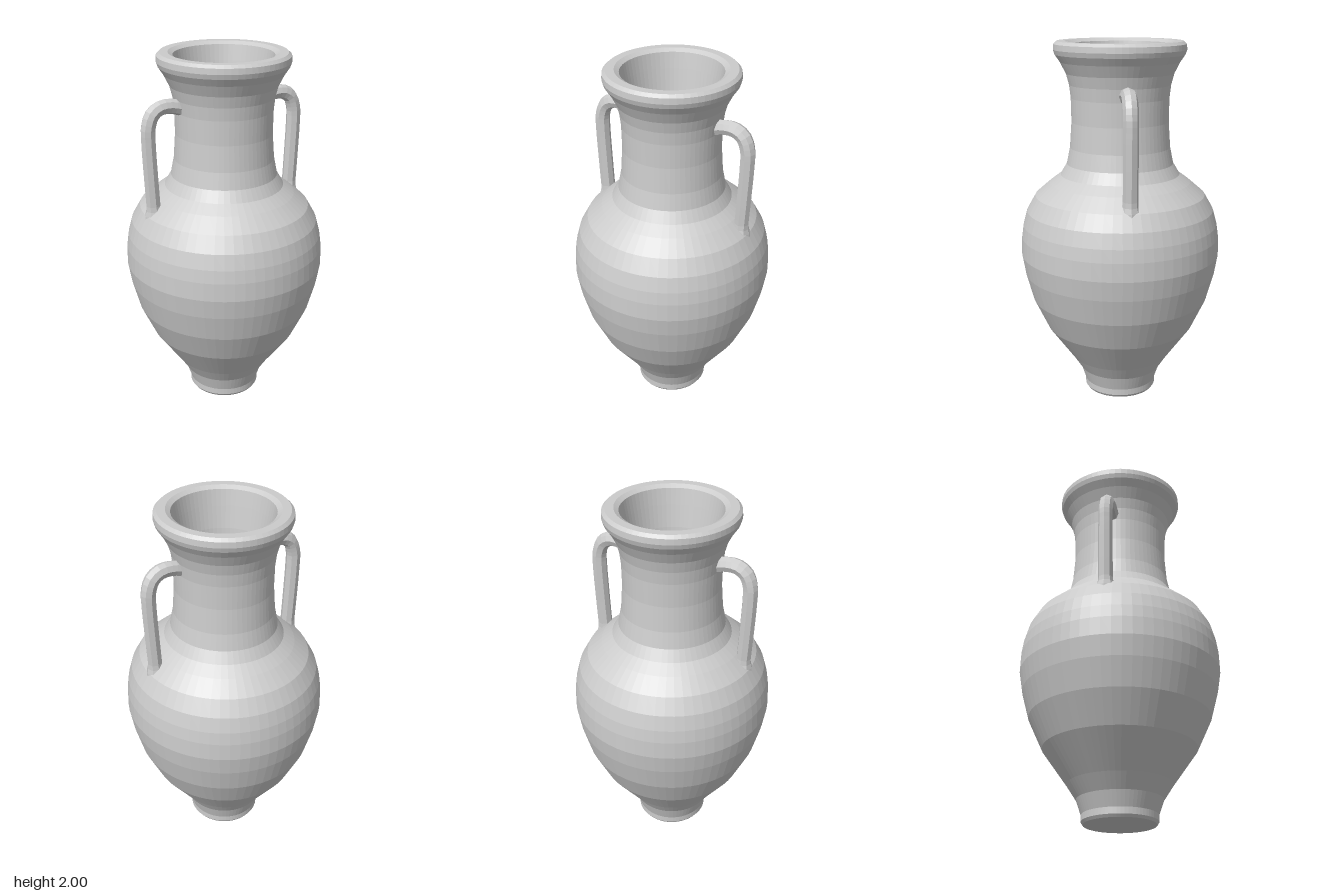
import * as THREE from 'three';

const material = new THREE.MeshStandardMaterial({ color: 0xcccccc, flatShading: true });

// Outer silhouette, foot to lip, as [radius, height]
const outer = [
  [0, 0], [0.19, 0], [0.2, 0.015], [0.2, 0.05], [0.227, 0.13], [0.278, 0.21],
  [0.412, 0.4], [0.49, 0.57], [0.53, 0.72], [0.548, 0.83], [0.545, 0.93],
  [0.535, 1.0], [0.513, 1.08], [0.465, 1.165], [0.385, 1.235], [0.325, 1.28],
  [0.29, 1.34], [0.272, 1.43], [0.262, 1.57], [0.264, 1.7], [0.272, 1.77],
  [0.288, 1.83], [0.318, 1.89], [0.345, 1.93], [0.353, 1.955], [0.351, 1.985], [0.335, 2.0],
];
// Hollow interior, lip down to the floor
const inner = [
  [0.29, 2.0], [0.265, 1.985], [0.25, 1.9], [0.23, 1.78], [0.22, 1.68], [0.217, 1.55],
  [0.228, 1.42], [0.255, 1.31], [0.34, 1.2], [0.42, 1.13], [0.475, 1.05], [0.505, 0.92],
  [0.505, 0.82], [0.487, 0.71], [0.445, 0.56], [0.37, 0.4], [0.24, 0.21], [0.18, 0.1], [0, 0.09],
];

function createVase() {
  const points = [...outer, ...inner].map(([r, y]) => new THREE.Vector2(r, y));
  const vase = new THREE.Mesh(new THREE.LatheGeometry(points, 64), material);
  vase.name = 'vaseBody';
  vase.scale.z = 1.015;
  return vase;
}

// Bent handle: an eight-sided tube that flares where it meets the shoulder
function createHandle(side) {
  const path = new THREE.CatmullRomCurve3([
    [0.235, 1.725], [0.3, 1.745], [0.365, 1.745], [0.412, 1.715], [0.437, 1.65],
    [0.439, 1.57], [0.433, 1.4], [0.425, 1.23], [0.42, 1.14],
  ].map(([x, y]) => new THREE.Vector3(side * x, y, 0)));
  const rings = 28, sides = 8;
  const geometry = new THREE.TubeGeometry(path, rings, 0.04, sides, false);
  const position = geometry.attributes.position;
  const vertex = new THREE.Vector3();
  for (let i = 0; i < position.count; i++) {
    const t = Math.floor(i / (sides + 1)) / rings;
    const center = path.getPointAt(t);
    const flare = 1 + 0.4 * THREE.MathUtils.smoothstep(t, 0.9, 1);
    vertex.fromBufferAttribute(position, i).sub(center).multiplyScalar(flare).add(center);
    position.setXYZ(i, vertex.x, vertex.y, vertex.z);
  }
  geometry.computeVertexNormals();
  const handle = new THREE.Mesh(geometry, material);
  handle.name = side > 0 ? 'leftHandle' : 'rightHandle';
  return handle;
}

export function createModel() {
  const model = new THREE.Group();
  model.name = 'amphora';
  model.add(createVase(), createHandle(1), createHandle(-1));
  return model;
}
